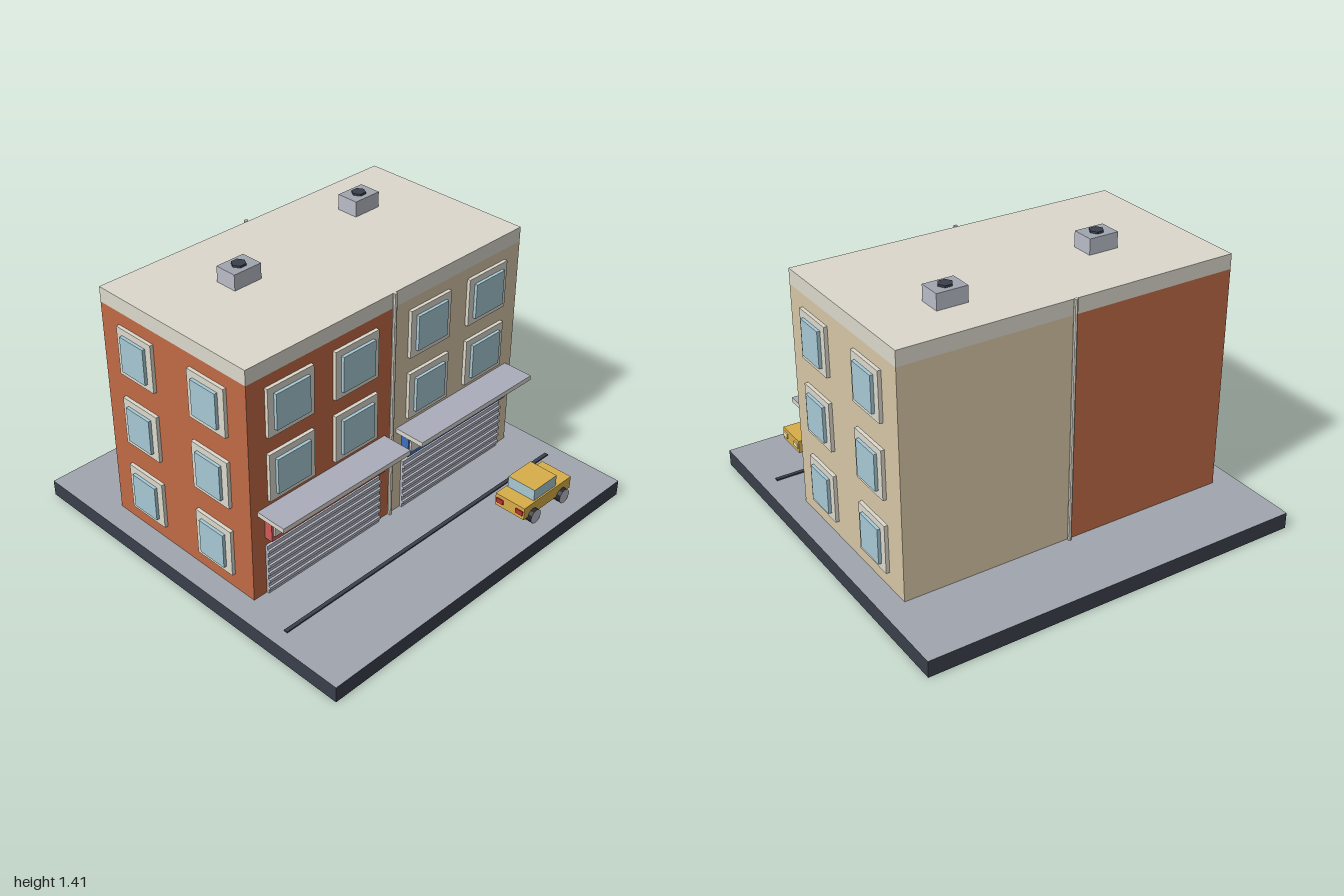
import * as THREE from 'three';

const COLORS = {
  dark: 0x3a3f4a, paving: 0x9fa5af, trim: 0xdcd8cc, brick: 0xc06a45, tan: 0xd6c6a6,
  glass: 0xa6c9d5, metal: 0xb9bcc8, red: 0xd25a5a, blue: 0x3a6fc0, yellow: 0xd9ae4a,
  black: 0x23262c, lamp: 0xeee0b0, awningTop: 0xaaaeba, tail: 0xc03030,
};
const materials = {};
for (const key in COLORS) {
  materials[key] = new THREE.MeshStandardMaterial({ flatShading: true });
  materials[key].color.set(COLORS[key]);
}

// Box given by its x, y and z ranges, optionally with another colour on top
function box(parent, name, x, y, z, color, topColor = color) {
  const side = materials[color], top = materials[topColor];
  const mesh = new THREE.Mesh(
    new THREE.BoxGeometry(x[1] - x[0], y[1] - y[0], z[1] - z[0]),
    color === topColor ? side : [side, side, top, side, side, side]
  );
  mesh.position.set((x[0] + x[1]) / 2, (y[0] + y[1]) / 2, (z[0] + z[1]) / 2);
  mesh.name = name;
  parent.add(mesh);
  return mesh;
}

function group(parent, name) {
  const g = new THREE.Group();
  g.name = name;
  parent.add(g);
  return g;
}

const GROUND = 0.085;
const FRONT = 0.36;
const BACK = -0.6;

// Window facing +z with its back on z = 0: frame and raised pane
function makeWindow(parent, frameWidth, paneWidth) {
  const g = group(parent, 'window');
  box(g, 'windowFrame', [-frameWidth / 2, frameWidth / 2], [-0.125, 0.125], [-0.01, 0.018], 'trim');
  box(g, 'windowPane', [-paneWidth / 2, paneWidth / 2], [-0.092, 0.092], [0, 0.034], 'glass');
  return g;
}

// Shopfront: roller shutter, sign band with panels, awning
function makeShop(parent, centre, signColor) {
  const g = group(parent, 'shopfront');
  g.position.x = centre;
  box(g, 'shutter', [-0.36, 0.36], [GROUND, 0.36], [FRONT - 0.01, 0.373], 'metal');
  for (let i = 0; i < 6; i++) {
    const y = 0.108 + i * 0.043;
    box(g, 'shutterSlat', [-0.36, 0.36], [y, y + 0.016], [0.37, 0.384], 'metal');
  }
  box(g, 'signBand', [-0.36, 0.36], [0.403, 0.523], [FRONT - 0.01, 0.404], signColor);
  for (let i = -3; i <= 3; i++) {
    const x = i * 0.105;
    box(g, 'signPanel', [x - 0.035, x + 0.035], [0.433, 0.493], [0.4, 0.414], 'trim');
  }
  box(g, 'awning', [-0.4, 0.4], [0.545, 0.57], [FRONT - 0.01, 0.525], 'trim', 'awningTop');
}

// Roof unit with a hexagonal vent
function makeRoofUnit(parent, x, z) {
  const g = group(parent, 'roofUnit');
  g.position.set(x, 1.32, z);
  box(g, 'unitCase', [-0.079, 0.079], [-0.01, 0.08], [-0.059, 0.059], 'metal', 'paving');
  const vent = new THREE.Mesh(new THREE.CylinderGeometry(0.036, 0.036, 0.014, 6), materials.dark);
  vent.rotation.y = Math.PI / 6;
  vent.position.y = 0.083;
  vent.name = 'vent';
  g.add(vent);
}

function makeCar(parent) {
  const car = group(parent, 'car');
  car.position.set(0.558, 0, 0.802);
  box(car, 'carBody', [-0.18, 0.18], [0.127, 0.195], [-0.088, 0.088], 'yellow');
  box(car, 'cabin', [-0.1, 0.07], [0.19, 0.257], [-0.08, 0.08], 'glass', 'yellow');
  for (const s of [-1, 1]) {
    const z = s * 0.059;
    box(car, 'headlight', [0.175, 0.186], [0.15, 0.175], [z - 0.021, z + 0.021], 'lamp');
    box(car, 'tailLight', [-0.186, -0.175], [0.15, 0.175], [z - 0.021, z + 0.021], 'tail');
    for (const x of [-0.111, 0.111]) {
      const wheel = new THREE.Mesh(
        new THREE.CylinderGeometry(0.038, 0.038, 0.046, 12),
        [materials.black, materials.metal, materials.metal]
      );
      wheel.rotation.x = Math.PI / 2;
      wheel.position.set(x, 0.123, s * 0.086);
      wheel.name = 'wheel';
      car.add(wheel);
    }
  }
}

export function createModel() {
  const root = new THREE.Group();
  root.name = 'streetCorner';

  // Ground and street line
  box(root, 'base', [-1, 1], [0, GROUND], [-1, 1], 'dark', 'paving');
  box(root, 'streetLine', [-0.92, 0.92], [GROUND - 0.005, 0.092], [0.598, 0.618], 'dark');

  // Two joined houses with a shared parapet
  box(root, 'leftHouse', [-0.88, 0], [GROUND, 1.243], [BACK, FRONT], 'brick');
  box(root, 'rightHouse', [0, 0.88], [GROUND, 1.243], [BACK, FRONT], 'tan');
  box(root, 'parapet', [-0.88, 0.88], [1.243, 1.32], [BACK, FRONT], 'trim');

  // Downpipes over the joint, front and back
  for (const z of [FRONT + 0.008, BACK - 0.008]) {
    const pipe = new THREE.Mesh(new THREE.CylinderGeometry(0.01, 0.01, 1.238, 8), materials.trim);
    pipe.position.set(0, GROUND + 0.619, z);
    pipe.name = 'downpipe';
    root.add(pipe);
  }

  // Front windows
  for (const x of [-0.643, -0.244, 0.238, 0.638]) {
    for (const y of [0.725, 1.062]) makeWindow(root, 0.27, 0.2).position.set(x, y, FRONT);
  }

  // Side windows
  for (const s of [-1, 1]) {
    for (const z of [0.12, -0.357]) {
      for (const y of [0.291, 0.672, 1.052]) {
        const w = makeWindow(root, 0.235, 0.16);
        w.position.set(s * 0.88, y, z);
        w.rotation.y = s * Math.PI / 2;
      }
    }
  }

  makeShop(root, -0.441, 'red');
  makeShop(root, 0.439, 'blue');
  makeRoofUnit(root, -0.405, -0.203);
  makeRoofUnit(root, 0.478, -0.323);
  makeCar(root);
  return root;
}
